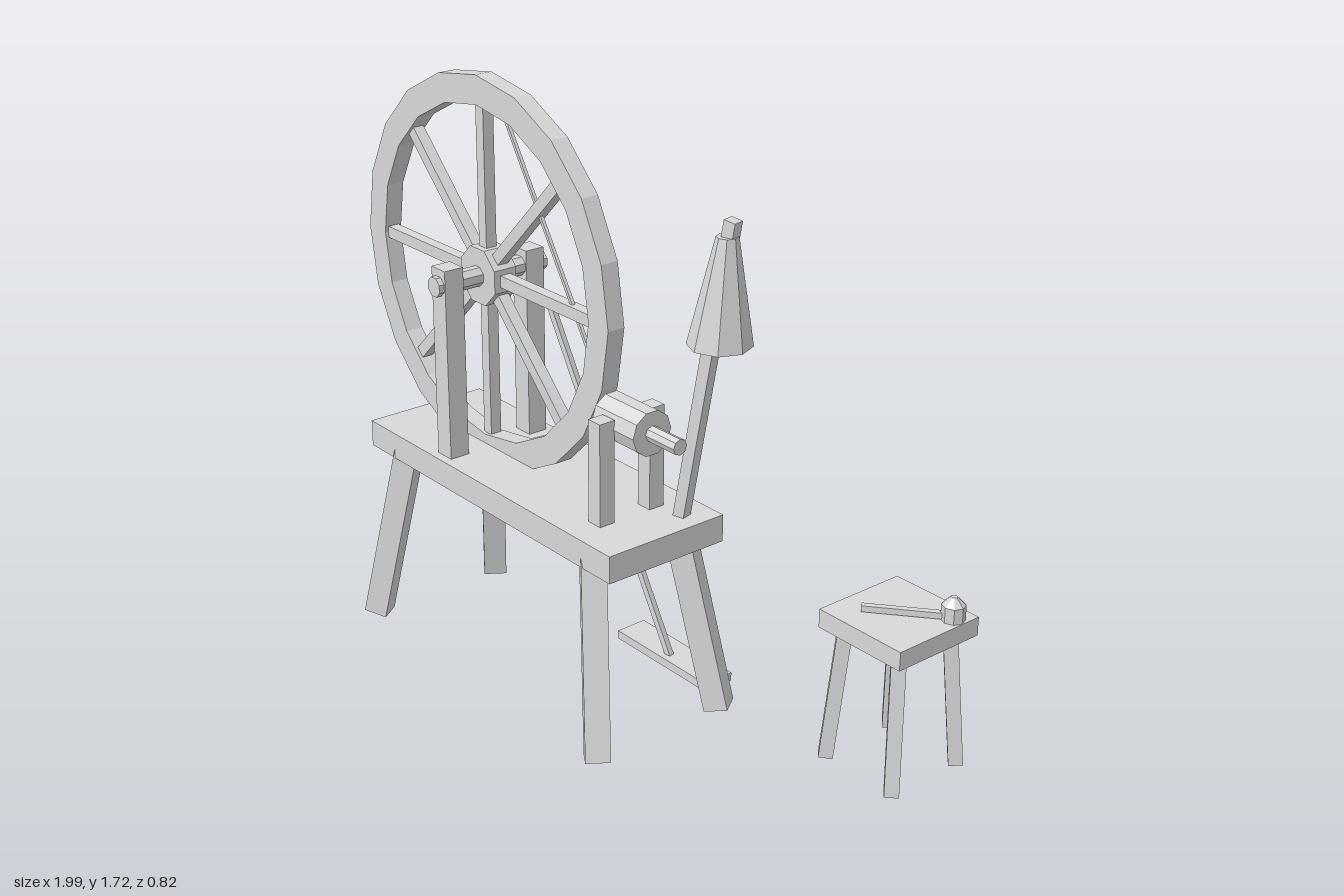
import * as THREE from 'three';

export function createModel() {
  const root = new THREE.Group();
  const grey = new THREE.MeshStandardMaterial({ color: 0xd8d8d8, flatShading: true });
  grey.name = 'plain grey';

  const add = (parent, name, geometry, x = 0, y = 0, z = 0) => {
    const mesh = new THREE.Mesh(geometry, grey);
    mesh.name = name;
    mesh.position.set(x, y, z);
    parent.add(mesh);
    return mesh;
  };
  const group = (name, x = 0, y = 0, z = 0) => {
    const g = new THREE.Group();
    g.name = name;
    g.position.set(x, y, z);
    root.add(g);
    return g;
  };
  const box = (parent, name, w, h, d, x, y, z) =>
    add(parent, name, new THREE.BoxGeometry(w, h, d), x, y, z);

  // Straight square bar between two points, given in the parent's own space
  const up = new THREE.Vector3(0, 1, 0);
  const bar = (parent, name, from, to, width) => {
    const a = new THREE.Vector3(...from), b = new THREE.Vector3(...to);
    const mesh = add(parent, name, new THREE.BoxGeometry(width, width, a.distanceTo(b)));
    mesh.position.copy(a).add(b).multiplyScalar(0.5);
    mesh.quaternion.setFromRotationMatrix(new THREE.Matrix4().lookAt(b, a, up));
  };

  // Four splayed legs under a top
  const legs = (parent, name, [topX, topY, topZ], [footX, footY, footZ], width) => {
    for (const sx of [-1, 1]) for (const sz of [-1, 1])
      bar(parent, name, [sx * footX, footY, sz * footZ], [sx * topX, topY, sz * topZ], width);
  };

  // Bench
  const bench = group('bench', -0.2, 0, 0.14);
  box(bench, 'benchTop', 1.14, 0.08, 0.395, 0, 0.59, 0);
  legs(bench, 'benchLeg', [0.44, 0.57, 0.15], [0.543, 0.01, 0.22], 0.07);

  // Drive wheel: rim, spokes, hub and axle
  const wheel = group('driveWheel', -0.422, 1.15, 0.14);
  const ring = (r) => Array.from({ length: 20 }, (_, i) => {
    const a = (i / 20) * Math.PI * 2;
    return new THREE.Vector2(Math.cos(a) * r, Math.sin(a) * r);
  });
  const rimShape = new THREE.Shape(ring(0.576));
  rimShape.holes.push(new THREE.Path(ring(0.492)));
  add(wheel, 'rim', new THREE.ExtrudeGeometry(rimShape, { depth: 0.055, bevelEnabled: false })
    .translate(0, 0, -0.0275));
  for (let i = 0; i < 8; i++) {
    const spoke = add(wheel, 'spoke', new THREE.BoxGeometry(0.45, 0.035, 0.035).translate(0.27, 0, 0));
    spoke.rotation.z = (i * Math.PI) / 4;
  }
  const octagon = (r, length) => new THREE.CylinderGeometry(r, r, length, 8)
    .rotateY(Math.PI / 8).rotateX(Math.PI / 2);
  add(wheel, 'hub', octagon(0.088, 0.075));
  add(wheel, 'axle', octagon(0.03, 0.375));
  for (const s of [-1, 1])
    box(root, 'wheelPost', 0.064, 0.58, 0.062, -0.422, 0.91, 0.14 + s * 0.14);

  // Spindle with bobbin on two short posts
  const spindle = group('spindle', 0, 0.903, 0.14);
  add(spindle, 'spindleRod', new THREE.CylinderGeometry(0.023, 0.023, 0.325, 8).rotateZ(Math.PI / 2), 0.255);
  add(spindle, 'bobbin', new THREE.CylinderGeometry(0.065, 0.065, 0.172, 10).rotateZ(Math.PI / 2), 0.218);
  for (const s of [-1, 1])
    box(root, 'spindlePost', 0.05, 0.31, 0.05, 0.197, 0.775, 0.14 + s * 0.086);

  // Drive cord from rim to bobbin
  bar(root, 'driveCord', [-0.35, 1.665, 0.14], [0.13, 0.91, 0.14], 0.01);

  // Distaff: leaning pole with a bundle of fibre, slightly sheared
  bar(root, 'distaffPole', [0.297, 0.62, 0.03], [0.442, 1.495, -0.005], 0.035);
  const bundle = new THREE.CylinderGeometry(0.03, 0.088, 0.3, 8);
  const p = bundle.attributes.position;
  for (let i = 0; i < p.count; i++) p.setX(i, p.getX(i) + p.getY(i) * 0.07);
  add(root, 'fibreBundle', bundle, 0.419, 1.301, 0.002);

  // Treadle and its connecting rod
  box(root, 'treadle', 0.395, 0.026, 0.1, 0.098, 0.048, -0.12);
  bar(root, 'treadleRod', [-0.35, 1.055, -0.018], [0.105, 0.055, -0.1], 0.018);

  // Stool
  const stool = group('stool', 0.843, 0, -0.26);
  box(stool, 'stoolSeat', 0.295, 0.055, 0.295, 0, 0.433, 0);
  legs(stool, 'stoolLeg', [0.097, 0.415, 0.097], [0.124, 0.012, 0.124], 0.04);

  // Drop spindle lying on the stool
  bar(stool, 'dropSpindleStick', [-0.07, 0.472, 0.07], [0.112, 0.472, -0.082], 0.018);
  add(stool, 'whorl', new THREE.CylinderGeometry(0.033, 0.033, 0.045, 8), 0.113, 0.482, -0.085);
  add(stool, 'whorlTip', new THREE.CylinderGeometry(0.009, 0.033, 0.024, 8), 0.113, 0.516, -0.085);

  return root;
}
